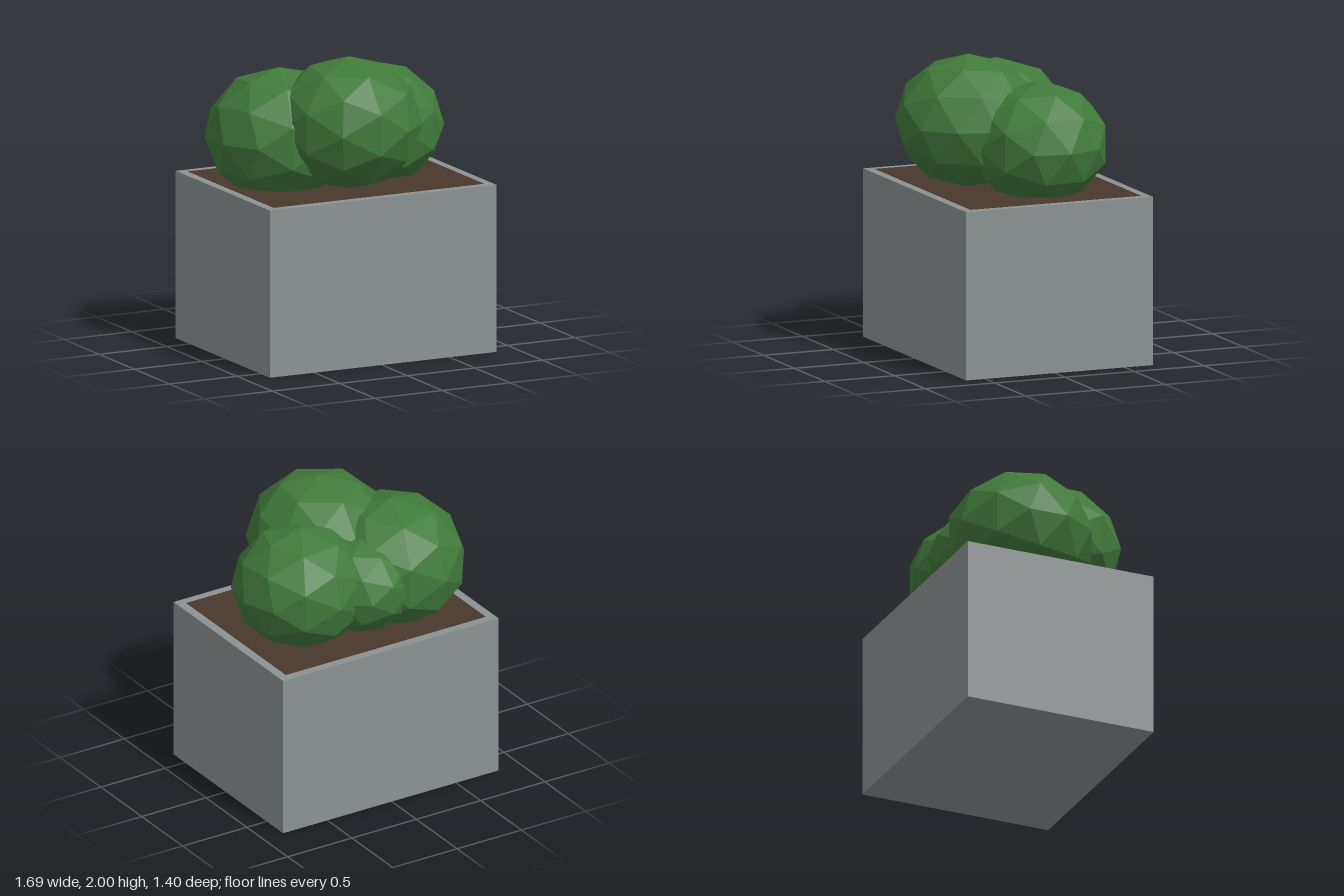
import * as THREE from 'three';

const flat = (name, color, flatShading = false) => {
  const m = new THREE.MeshStandardMaterial({ color, flatShading });
  m.name = name;
  return m;
};

export function createModel() {
  const model = new THREE.Group();
  model.name = 'planterWithShrubs';
  const stone = flat('stoneGray', 0x8c9293);
  const soilBrown = flat('soilBrown', 0x4a382b);
  const leafGreen = flat('leafGreen', 0x417a3b, true);

  const add = (name, geometry, material, x, y, z) => {
    const mesh = new THREE.Mesh(geometry, material);
    mesh.name = name;
    mesh.position.set(x, y, z);
    model.add(mesh);
    return mesh;
  };

  // Planter block, with a thin sheet of soil leaving a narrow rim
  const width = 1.675, height = 1.125, depth = 1.34, rim = 0.062;
  const cx = 0.008, cz = -0.03;
  add('planter', new THREE.BoxGeometry(width, height, depth), stone, cx, height / 2, cz);
  add('soil', new THREE.BoxGeometry(width - 2 * rim, 0.004, depth - 2 * rim), soilBrown, cx, height + 0.001, cz);

  // Faceted shrubs, slightly squashed: name, centre, radius, turn in degrees
  const shrubs = [
    ['frontShrub', -0.035, 1.555, 0.235, 0.488, -32],
    ['rightShrub', -0.37, 1.44, -0.115, 0.495, 15],
    ['leftShrub', 0.335, 1.44, -0.11, 0.458, 3.5],
    ['backShrub', -0.05, 1.41, -0.25, 0.353, 38],
  ];
  for (const [name, x, y, z, radius, turn] of shrubs) {
    const shrub = add(name, new THREE.IcosahedronGeometry(radius, 1), leafGreen, x, y, z);
    shrub.rotation.y = THREE.MathUtils.degToRad(turn);
    shrub.scale.y = 0.913;
  }
  return model;
}
